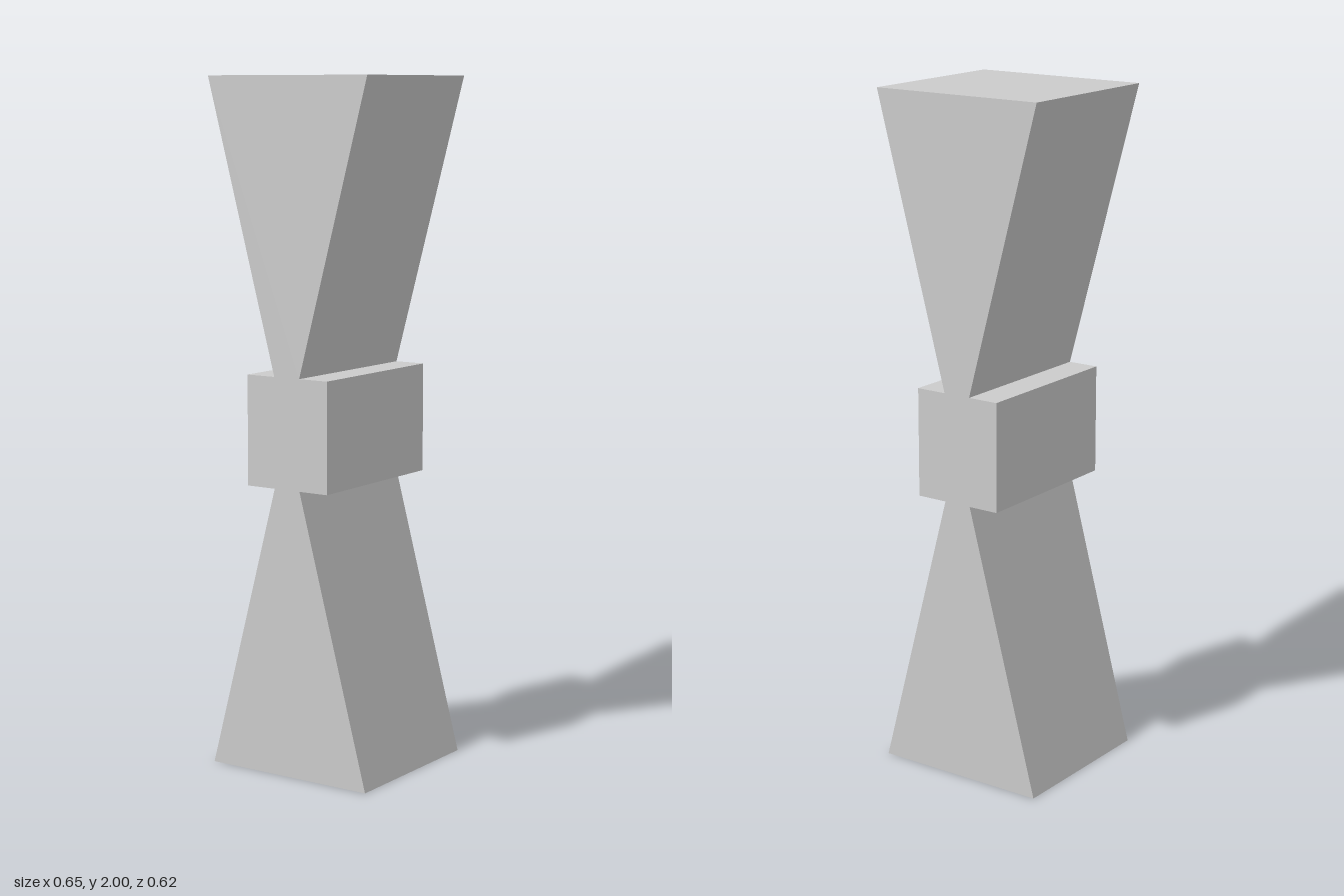
import * as THREE from 'three';

const DEPTH = 0.5;

export function createModel() {
  const group = new THREE.Group();
  group.name = 'hourglassBlock';

  // Right-hand half outline [x, y]: flared foot, narrow waist, square band, flared head
  const right = [[0.267, 0], [0.043, 0.84], [0.137, 0.84], [0.137, 1.16], [0.043, 1.16], [0.27, 2]];
  const left = right.map(([x, y]) => [-x, y]).reverse();
  const outline = new THREE.Shape([...right, ...left].map(([x, y]) => new THREE.Vector2(x, y)));

  // One solid: the end faces of foot, band and head are flush
  const geometry = new THREE.ExtrudeGeometry(outline, { depth: DEPTH, bevelEnabled: false });
  geometry.translate(0, 0, -DEPTH / 2);

  const body = new THREE.Mesh(
    geometry,
    new THREE.MeshStandardMaterial({ color: 0xcccccc, flatShading: true })
  );
  body.name = 'bandedBody';
  body.rotation.y = -THREE.MathUtils.degToRad(15);
  group.add(body);

  return group;
}
